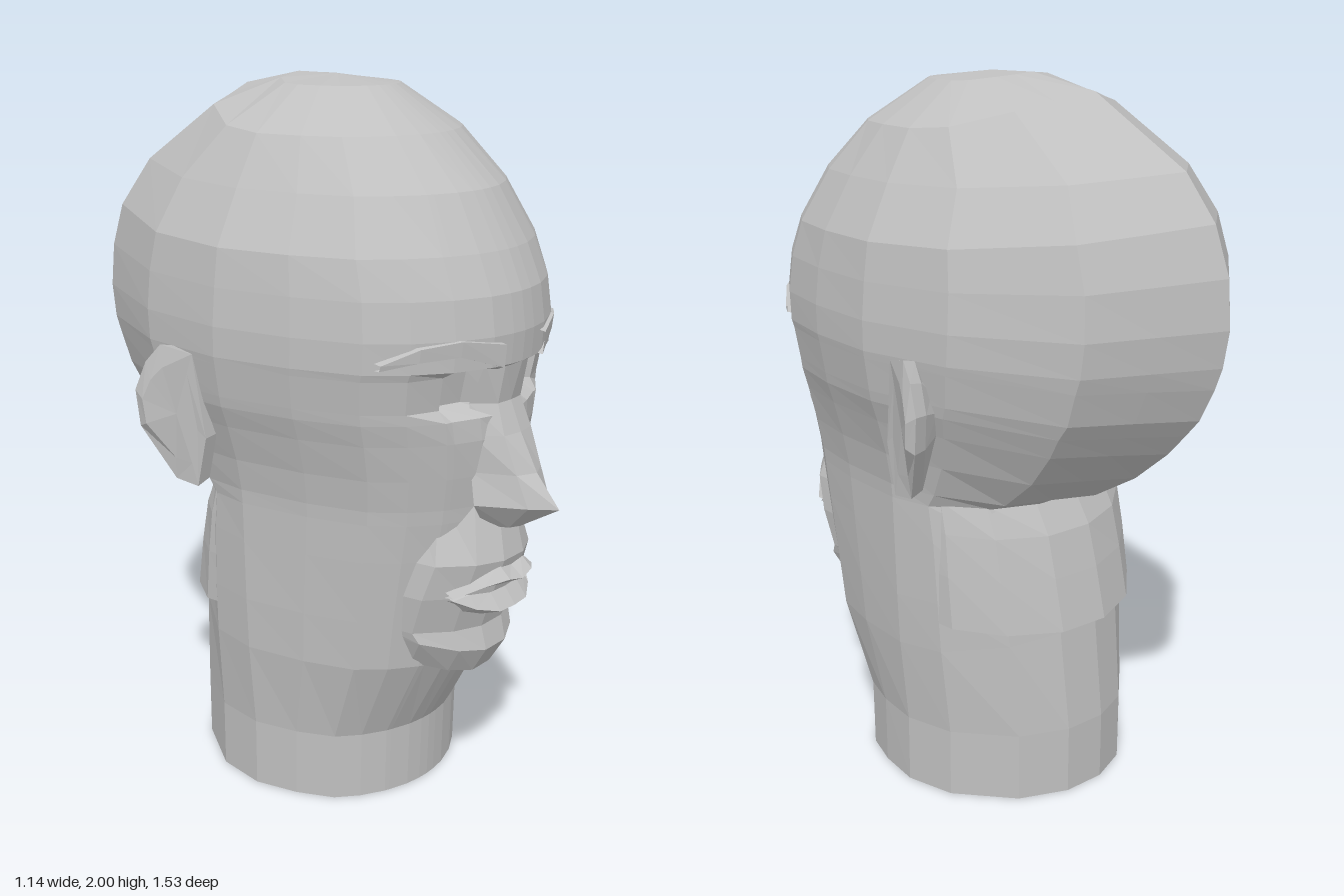
import * as THREE from 'three';

const skin = new THREE.MeshStandardMaterial({ color: 0xc0c0c0, flatShading: true, side: THREE.DoubleSide });
skin.name = 'clay grey';

// Joins matching cross-sections (arrays of [x, y, z]) with flat quads.
function loft(name, sections, closed = false) {
  const pos = [];
  for (let k = 0; k < sections.length - 1; k++) {
    const p = sections[k], q = sections[k + 1], n = p.length;
    for (let i = 0; i < (closed ? n : n - 1); i++) {
      const j = (i + 1) % n;
      pos.push(...p[i], ...q[i], ...q[j], ...p[i], ...q[j], ...p[j]);
    }
  }
  const geo = new THREE.BufferGeometry();
  geo.setAttribute('position', new THREE.Float32BufferAttribute(pos, 3));
  geo.computeVertexNormals();
  const mesh = new THREE.Mesh(geo, skin);
  mesh.name = name;
  return mesh;
}

// Half plan of the head from back to front: [x, z, eye socket weight]
const PLAN = [
  [0, -1, 0], [0.34, -0.87, 0], [0.68, -0.74, 0], [0.96, -0.33, 0], [1, 0.03, 0], [0.9, 0.38, 0],
  [0.76, 0.66, 0], [0.6, 0.8, 0], [0.42, 0.905, 0.35], [0.38, 0.92, 0.9], [0.22, 0.975, 1], [0.09, 0.995, 0.3], [0, 1, 0.25],
];

// One ring round the head: front and back height, front and back z, half width.
// Rings stay level over the face and sides and tilt only towards the back.
function ring(yF, yB, zF, zB, w, socket = 0, neck = false) {
  const half = PLAN.map(([px, pz, s], i) => {
    const z = neck && i === 1 ? -0.94 : pz;
    const y = THREE.MathUtils.lerp(yF, yB, Math.max(0, -z) ** 2);
    return [px * w, y, (z > 0 ? z * zF : -z * zB) - s * socket];
  });
  const left = half.slice(1, -1).reverse();
  return [...half.map(([x, y, z]) => [-x, y, z]), ...left];
}

// Strip along x, mirrored from half sections listed from the centre outwards
const mirrorSections = (half) => [
  ...half.slice(1).reverse().map((s) => s.map(([x, y, z]) => [-x, y, z])), ...half,
];

function createEar() {
  const outline = [[-0.07, 1.31], [-0.15, 1.33], [-0.19, 1.28], [-0.22, 1.2], [-0.21, 1.1], [-0.14, 0.95], [-0.07, 0.94], [-0.04, 1.08]];
  const loop = (scale, xAt) => outline.map(([z, y]) => [xAt(z, y), 1.14 + (y - 1.14) * scale, -0.12 + (z + 0.12) * scale]);
  const rimX = (z, y) => 0.48 + 0.46 * (-z - 0.04) * THREE.MathUtils.clamp((y - 0.85) / 0.25, 0, 1);
  return loft('ear', [
    loop(0.62, () => 0.44),
    loop(0.94, (z, y) => rimX(z, y) - 0.045),
    loop(1, rimX),
    loop(0.68, (z, y) => rimX(z, y) + 0.005),
    loop(0, () => 0.51),
  ], true);
}

function createBrow() {
  // centre line and height of each step: [x, y, z, height]
  const steps = [[0.085, 1.35, 0.625, 0.06], [0.2, 1.38, 0.575, 0.04], [0.29, 1.37, 0.515, 0.035], [0.36, 1.34, 0.445, 0.015]];
  return loft('eyebrow', steps.map(([x, y, z, h]) => [
    [x, y - h / 2, z - 0.05], [x, y - h / 2, z + 0.01], [x, y + h / 2, z + 0.015], [x, y + h / 2 + 0.01, z - 0.05],
  ]), true);
}

export function createModel() {
  const head = new THREE.Group();
  head.name = 'head';

  // Skull, face and neck share their boundary rings
  const brow = ring(1.4, 1.4, 0.635, -0.765, 0.5);
  const jaw = ring(0.45, 0.5, 0.49, -0.38, 0.39, 0, true);
  const skull = [
    ring(2, 2, 0, 0, 0),
    ring(1.98, 2, 0.18, -0.14, 0.16),
    ring(1.87, 1.96, 0.35, -0.34, 0.32),
    ring(1.74, 1.78, 0.49, -0.62, 0.4),
    ring(1.6, 1.66, 0.575, -0.71, 0.475),
    ring(1.5, 1.53, 0.62, -0.755, 0.49),
    brow,
  ];
  const face = [
    brow,
    ring(1.32, 1.3, 0.63, -0.75, 0.5),
    ring(1.3, 1.24, 0.62, -0.73, 0.497, 0.07),
    ring(1.21, 1.15, 0.605, -0.69, 0.483, 0.075),
    ring(1.18, 1.1, 0.605, -0.65, 0.477, 0.01),
    ring(1.12, 1.04, 0.6, -0.6, 0.455),
    ring(1.02, 0.95, 0.59, -0.5, 0.425),
    ring(0.93, 0.87, 0.575, -0.37, 0.408),
    ring(0.89, 0.86, 0.57, -0.3, 0.405, 0, true),
    ring(0.78, 0.78, 0.55, -0.34, 0.402, 0, true),
    ring(0.6, 0.62, 0.515, -0.365, 0.397, 0, true),
    jaw,
  ];
  const neck = [
    jaw,
    ring(0.2, 0.2, 0.36, -0.41, 0.365, 0, true),
    ring(0, 0, 0.355, -0.41, 0.365, 0, true),
    ring(0, 0, 0, 0, 0),
  ];
  head.add(loft('skull', skull, true), loft('face', face, true), loft('neck', neck, true));

  // Flared fold at the nape, sinking into the neck at its ends: [y, back z, half width]
  const nape = [[0.89, -0.3, 0.4], [0.8, -0.35, 0.405], [0.68, -0.38, 0.41], [0.53, -0.412, 0.41], [0.53, -0.36, 0.37]];
  head.add(loft('napeFold', nape.map(([y, zb, w]) =>
    [80, 66, 45, 22, 0, -22, -45, -66, -80].map((deg) => {
      const a = THREE.MathUtils.degToRad(deg);
      const r = Math.abs(deg) === 80 ? 0.95 : 1;
      return [r * w * Math.sin(a), y + 0.05 * (1 - Math.cos(a)) - 0.02, r * zb * Math.cos(a)];
    }))));

  // Muzzle and chin: [y, half width, centre z]
  const muzzle = [[0.96, 0.14, 0.59], [0.78, 0.2, 0.63], [0.68, 0.215, 0.6], [0.57, 0.21, 0.565], [0.5, 0.2, 0.582], [0.42, 0.175, 0.535], [0.43, 0.14, 0.4]];
  const drop = [[-1.08, 0.2], [-1, 0.11], [-0.6, 0.035], [-0.22, 0], [0.22, 0], [0.6, 0.035], [1, 0.11], [1.08, 0.2]];
  head.add(loft('muzzleAndChin', muzzle.map(([y, w, z], i) =>
    drop.map(([t, d]) => [t * w, y + (i > 3 ? 0.04 * t * t : 0), z - d]))));

  // Nose: [y, base half width, ridge half width, base z, ridge z, tip z]
  const nose = [
    [1.32, 0.09, 0.05, 0.58, 0.615, 0.63],
    [1.21, 0.1, 0.05, 0.54, 0.595, 0.6],
    [1.13, 0.11, 0.06, 0.56, 0.625, 0.635],
    [1.03, 0.11, 0.055, 0.56, 0.665, 0.69],
    [0.945, 0.12, 0.05, 0.58, 0.7, 0.763],
    [0.87, 0.06, 0.03, 0.57, 0.63, 0.645],
  ];
  head.add(loft('nose', nose.map(([y, b, r, zb, zr, zt]) =>
    [[-b, y, zb], [-r, y, zr], [0, y, zt], [r, y, zr], [b, y, zb]])));

  // Lips, each section listed from bottom to top
  head.add(loft('upperLip', mirrorSections([
    [[0, 0.7, 0.6], [0, 0.725, 0.662], [0, 0.755, 0.62]],
    [[0.05, 0.7, 0.6], [0.05, 0.735, 0.655], [0.05, 0.77, 0.615]],
    [[0.11, 0.695, 0.57], [0.11, 0.72, 0.615], [0.11, 0.74, 0.575]],
    [[0.17, 0.68, 0.5], [0.17, 0.69, 0.56], [0.17, 0.71, 0.51]],
  ])));
  head.add(loft('lowerLip', mirrorSections([
    [[0, 0.605, 0.57], [0, 0.64, 0.64], [0, 0.685, 0.605]],
    [[0.06, 0.61, 0.565], [0.06, 0.64, 0.635], [0.06, 0.685, 0.6]],
    [[0.12, 0.63, 0.54], [0.12, 0.655, 0.6], [0.12, 0.69, 0.575]],
    [[0.165, 0.67, 0.5], [0.165, 0.68, 0.555], [0.165, 0.69, 0.52]],
  ])));

  // Paired features
  for (const side of [1, -1]) {
    const pair = new THREE.Group();
    pair.name = side > 0 ? 'leftFeatures' : 'rightFeatures';
    pair.scale.x = side;
    pair.add(createEar(), createBrow());
    head.add(pair);
  }
  return head;
}
